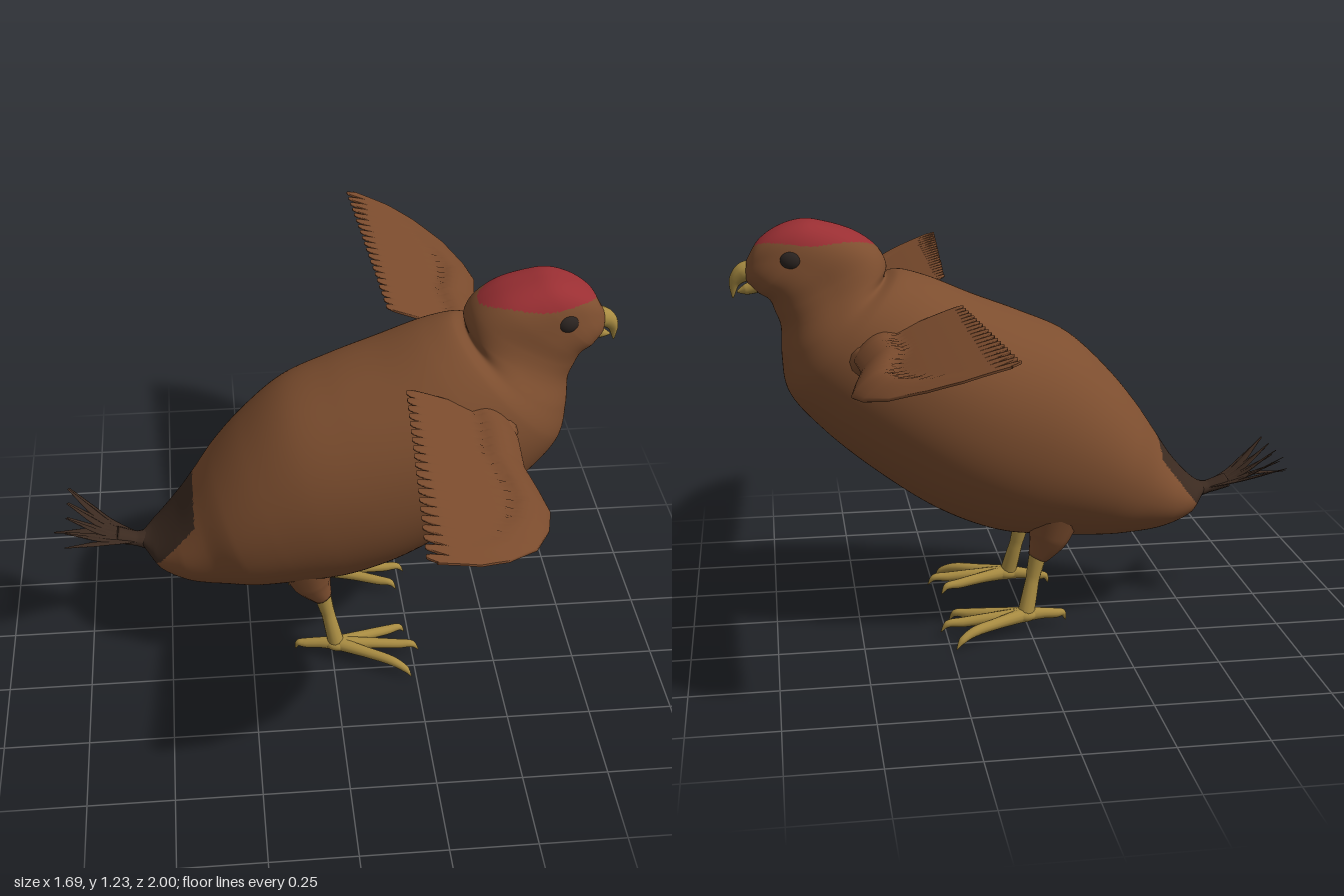
import * as THREE from 'three';

const V = (x, y, z = 0) => new THREE.Vector3(x, y, z);
const mat = (name, color, side = THREE.FrontSide) => {
  const m = new THREE.MeshStandardMaterial({ color, side });
  m.name = name;
  return m;
};

// Skin a list of closed rings, with both ends closed; pick(centre) chooses a material index per face
function loft(rings, pick = null) {
  const n = rings[0].length, last = rings.length - 1;
  const pts = rings.flat();
  const centre = r => r.reduce((a, p) => a.add(p), V(0, 0)).divideScalar(n);
  pts.push(centre(rings[0]), centre(rings[last]));
  const tris = [];
  for (let j = 0; j < n; j++) {
    const k = (j + 1) % n;
    for (let i = 0; i < last; i++) {
      const a = i * n + j, b = i * n + k;
      tris.push([a, b, a + n], [b, b + n, a + n]);
    }
    tris.push([pts.length - 2, k, j], [pts.length - 1, last * n + j, last * n + k]);
  }
  const g = new THREE.BufferGeometry().setFromPoints(pts);
  if (pick) {
    const sets = [[], [], []];
    for (const t of tris) {
      const c = V(0, 0).add(pts[t[0]]).add(pts[t[1]]).add(pts[t[2]]).divideScalar(3);
      sets[pick(c)].push(...t);
    }
    let start = 0;
    sets.forEach((s, m) => { g.addGroup(start, s.length, m); start += s.length; });
    g.setIndex(sets.flat());
  } else g.setIndex(tris.flat());
  g.computeVertexNormals();
  return g;
}

// Tapered tube through points; flat squashes its height
function taper(points, radii, flat = 1, steps = 20, sides = 12) {
  const curve = new THREE.CatmullRomCurve3(points), rings = [];
  for (let i = 0; i <= steps; i++) {
    const t = i / steps, f = t * (radii.length - 1), k = Math.min(Math.floor(f), radii.length - 2);
    const r = THREE.MathUtils.lerp(radii[k], radii[k + 1], f - k);
    const T = curve.getTangent(t), B = T.clone().cross(V(0, 1)).normalize(), N = B.clone().cross(T);
    const c = curve.getPoint(t), ring = [];
    for (let j = 0; j < sides; j++) {
      const a = j / sides * Math.PI * 2;
      ring.push(c.clone().addScaledVector(N, Math.cos(a) * r * flat).addScaledVector(B, Math.sin(a) * r));
    }
    rings.push(ring);
  }
  return loft(rings);
}

// Slanted body sections from rump to face: back x, y, belly x, y, half width
const SECTIONS = [
  [-0.58, 0.38, -0.56, 0.345, 0.03], [-0.54, 0.405, -0.51, 0.30, 0.11], [-0.47, 0.48, -0.42, 0.267, 0.175],
  [-0.41, 0.57, -0.30, 0.253, 0.215], [-0.35, 0.66, -0.20, 0.255, 0.26], [-0.26, 0.77, -0.07, 0.265, 0.29],
  [-0.14, 0.88, 0.08, 0.285, 0.312], [0, 0.945, 0.25, 0.355, 0.32], [0.14, 1.0, 0.42, 0.47, 0.31],
  [0.28, 1.06, 0.59, 0.615, 0.275], [0.36, 1.08, 0.69, 0.737, 0.235], [0.40, 1.07, 0.705, 0.84, 0.195],
  [0.395, 1.10, 0.705, 0.93, 0.158], [0.415, 1.145, 0.72, 0.975, 0.14], [0.48, 1.195, 0.735, 1.01, 0.132],
  [0.57, 1.226, 0.765, 1.03, 0.12], [0.63, 1.235, 0.775, 1.04, 0.108], [0.70, 1.217, 0.785, 1.05, 0.09],
  [0.76, 1.176, 0.795, 1.06, 0.064], [0.795, 1.12, 0.80, 1.08, 0.03],
];

function bodyGeometry() {
  const back = new THREE.CatmullRomCurve3(SECTIONS.map(s => V(s[0], s[1])));
  const belly = new THREE.CatmullRomCurve3(SECTIONS.map(s => V(s[2], s[3])));
  const width = new THREE.CatmullRomCurve3(SECTIONS.map((s, i) => V(s[4], i * 0.05)));
  const rings = [], steps = 190, sides = 120;
  const pow = (v, e) => Math.sign(v) * Math.abs(v) ** (2 / e);
  for (let i = 0; i <= steps; i++) {
    const t = i / steps, a = back.getPoint(t), b = belly.getPoint(t), w = width.getPoint(t).x;
    const c = a.clone().add(b).multiplyScalar(0.5), h = a.clone().sub(c);
    const e = 2.1 + 0.7 * THREE.MathUtils.smoothstep(t, 0.55, 0.75);
    const ring = [];
    for (let j = 0; j < sides; j++) {
      const q = j / sides * Math.PI * 2;
      const p = c.clone().addScaledVector(h, pow(Math.cos(q), e));
      p.z = w * pow(Math.sin(q), e);
      ring.push(p);
    }
    rings.push(ring);
  }
  // 0 plumage, 1 crown, 2 dark rump
  return loft(rings, p => {
    if (p.y > 1.13 && ((p.x - 0.6) / 0.17) ** 2 + (p.z / 0.115) ** 2 < 1) return 1;
    if (p.x < -0.41 && p.y > 0.39 + 1.3 * (p.x + 0.5)) return 2;
    return 0;
  });
}

// Wing: thick leading edge, thin blade, scalloped feather tips along the trailing edge
function wingGeometry(side) {
  const lead = [[0.2, 0.50], [0.3, 0.51], [0.45, 0.50], [0.55, 0.523], [0.63, 0.537], [0.72, 0.515],
    [0.83, 0.46], [0.92, 0.37], [0.97, 0.29], [1, 0.18]];
  const leadAt = z => {
    const k = Math.min(lead.findIndex(p => p[0] >= z - 1e-9) || 1, lead.length - 1);
    const [a, b] = [lead[k - 1], lead[k]];
    return THREE.MathUtils.lerp(a[1], b[1], (z - a[0]) / (b[0] - a[0]));
  };
  const feathers = 20, per = 10, chord = 18, rings = [];
  for (let i = 0; i <= feathers * per; i++) {
    const u = i / (feathers * per), z = 0.22 + 0.78 * u, x0 = leadAt(z);
    const p = (i % per) / per;
    const notch = (0.025 + 0.035 * u) * Math.abs(2 * p - 1) ** 3;
    const x1 = Math.min(0.2 - 0.05 * u + notch, x0 - 0.005);
    const fade = 1 - THREE.MathUtils.smoothstep(z, 0.55, 0.95);
    const ring = [];
    for (let j = 0; j < chord * 2; j++) {
      const top = j < chord, s = (top ? j : 2 * chord - 1 - j) / (chord - 1);
      const d = (x0 - x1) * s ** 1.5, x = x0 - d, q = x - 0.15;
      const half = 0.003 + 0.026 * fade * Math.sin(Math.PI * Math.min(d / 0.11, 1)) ** 0.7;
      ring.push(V(x, 1.03 - 0.3 * q - 0.3 * q * q + (top ? half : -half), side * z));
    }
    rings.push(ring);
  }
  return loft(side > 0 ? rings : rings.reverse());
}

export function createModel() {
  const root = new THREE.Group();
  root.name = 'bird';
  const brown = mat('brown plumage', 0x7d4e2f), red = mat('red crown', 0x9a2f33);
  const dark = mat('dark tail', 0x3b2a20), yellow = mat('yellow horn', 0xa98c42);
  const black = mat('eye', 0x2a2320);
  const wingBrown = mat('wing brown', 0x7a4b2d, THREE.DoubleSide);
  const add = (name, geo, m, parent = root) => {
    const mesh = new THREE.Mesh(geo, m);
    mesh.name = name;
    parent.add(mesh);
    return mesh;
  };
  const ball = (name, m, pos, scale, parent = root) => {
    const b = add(name, new THREE.SphereGeometry(1, 28, 20), m, parent);
    b.position.set(...pos);
    b.scale.set(...scale);
    return b;
  };

  add('body', bodyGeometry(), [brown, red, dark]);

  // Beak
  add('upperBeak', taper([V(0.765, 1.09), V(0.805, 1.085), V(0.83, 1.06), V(0.838, 1.012)], [0.036, 0.03, 0.018, 0.002]), yellow);
  add('lowerBeak', taper([V(0.76, 1.048), V(0.8, 1.036), V(0.825, 1.03)], [0.022, 0.016, 0.003]), yellow);

  // Tail: narrow stalk, raised fan and one low centre feather
  add('tailStalk', taper([V(-0.53, 0.365), V(-0.59, 0.372), V(-0.65, 0.39)], [0.05, 0.03, 0.034], 0.6), dark);
  for (let i = -4; i <= 4; i++) {
    const f = i / 4, lift = i % 2 ? 0.5 : 0.475;
    add('tailFeather', taper([V(-0.58, 0.372, f * 0.015), V(-0.68, 0.405, f * 0.06), V(-0.795, lift - 0.01, f * 0.15)],
      [0.008, 0.012, 0.014, 0.003], 0.25, 14, 8), dark);
  }
  add('lowTailFeather', taper([V(-0.58, 0.37), V(-0.7, 0.405), V(-0.84, 0.41)], [0.01, 0.014, 0.015, 0.003], 0.25, 14, 8), dark);

  for (const s of [1, -1]) {
    const label = s > 0 ? 'left' : 'right';
    const eye = ball(label + 'Eye', black, [0.67, 1.132, s * 0.102], [0.035, 0.03, 0.025]);
    eye.rotation.y = s * 0.25;

    // Wing and shoulder
    add(label + 'Wing', wingGeometry(s), wingBrown);
    add(label + 'Shoulder', taper([V(0.46, 0.84, s * 0.12), V(0.475, 0.865, s * 0.23), V(0.462, 0.9, s * 0.36)],
      [0.09, 0.05, 0.015]), brown);

    // Leg
    const leg = new THREE.Group();
    leg.name = label + 'Leg';
    root.add(leg);
    add('thigh', taper([V(-0.08, 0.37, s * 0.15), V(-0.06, 0.29, s * 0.152), V(-0.028, 0.225, s * 0.155)],
      [0.085, 0.062, 0.03]), brown, leg);
    add('shank', taper([V(-0.035, 0.26, s * 0.153), V(-0.012, 0.16, s * 0.162), V(0.012, 0.055, s * 0.18)],
      [0.028, 0.021, 0.026]), yellow, leg);
    ball('footPad', yellow, [0.02, 0.054, s * 0.18], [0.042, 0.022, 0.03], leg);

    // Toes, each ending in a hooked claw: tip x, y, z
    const toes = [[0.235, 0.005, 0.3], [0.27, 0.02, 0.195], [0.235, 0.02, 0.105], [-0.115, 0.02, 0.155]];
    for (const [x, y, z] of toes) {
      const at = (k, h) => V(0.01 + (x - 0.01) * k, h, s * (0.18 + (z - 0.18) * k));
      add('toe', taper([at(0, 0.055), at(0.4, 0.052), at(0.75, 0.046), at(0.92, y + 0.024), at(1, y)],
        [0.022, 0.017, 0.015, 0.011, 0.001]), yellow, leg);
    }
  }
  return root;
}
